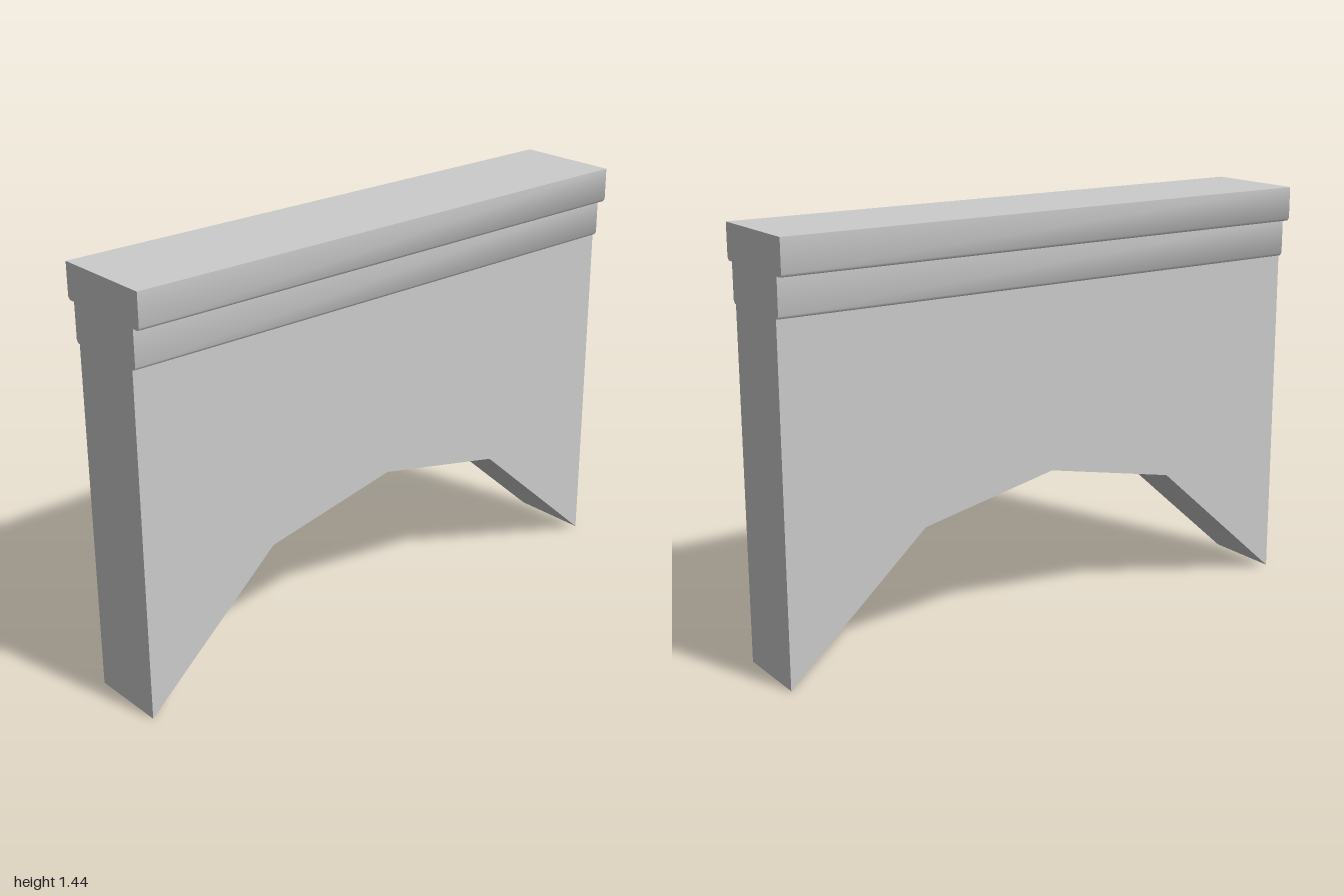
import * as THREE from 'three';
import { toCreasedNormals } from 'three/addons/utils/BufferGeometryUtils.js';

const CREASE = THREE.MathUtils.degToRad(50);

// Mirror a half outline about the vertical axis and extrude it, centred on its depth
function extrudeMirrored(half, depth) {
  const mirrored = half.filter(([a]) => a > 0).reverse().map(([a, y]) => [-a, y]);
  const shape = new THREE.Shape([...half, ...mirrored].map(([a, y]) => new THREE.Vector2(a, y)));
  const geometry = new THREE.ExtrudeGeometry(shape, { depth, bevelEnabled: false });
  geometry.translate(0, 0, -depth / 2);
  return geometry;
}

export function createModel() {
  const group = new THREE.Group();
  group.name = 'archWall';
  const material = new THREE.MeshStandardMaterial({ color: 0xcccccc });

  const add = (name, geometry) => {
    const mesh = new THREE.Mesh(toCreasedNormals(geometry, CREASE), material);
    mesh.name = name;
    group.add(mesh);
  };

  // Wall with a faceted arch cut into its underside, spanning along z
  const wall = extrudeMirrored([[0, 0.55], [0.5, 0.445], [1, 0], [1, 1.19]], 0.278);
  wall.rotateY(Math.PI / 2);
  add('wall', wall);

  // Stepped coping along the top, with a small chamfer under each step
  const coping = extrudeMirrored([
    [0.146, 1.19], [0.154, 1.2], [0.154, 1.32],
    [0.177, 1.32], [0.185, 1.33], [0.185, 1.44],
  ], 2);
  add('coping', coping);

  return group;
}
